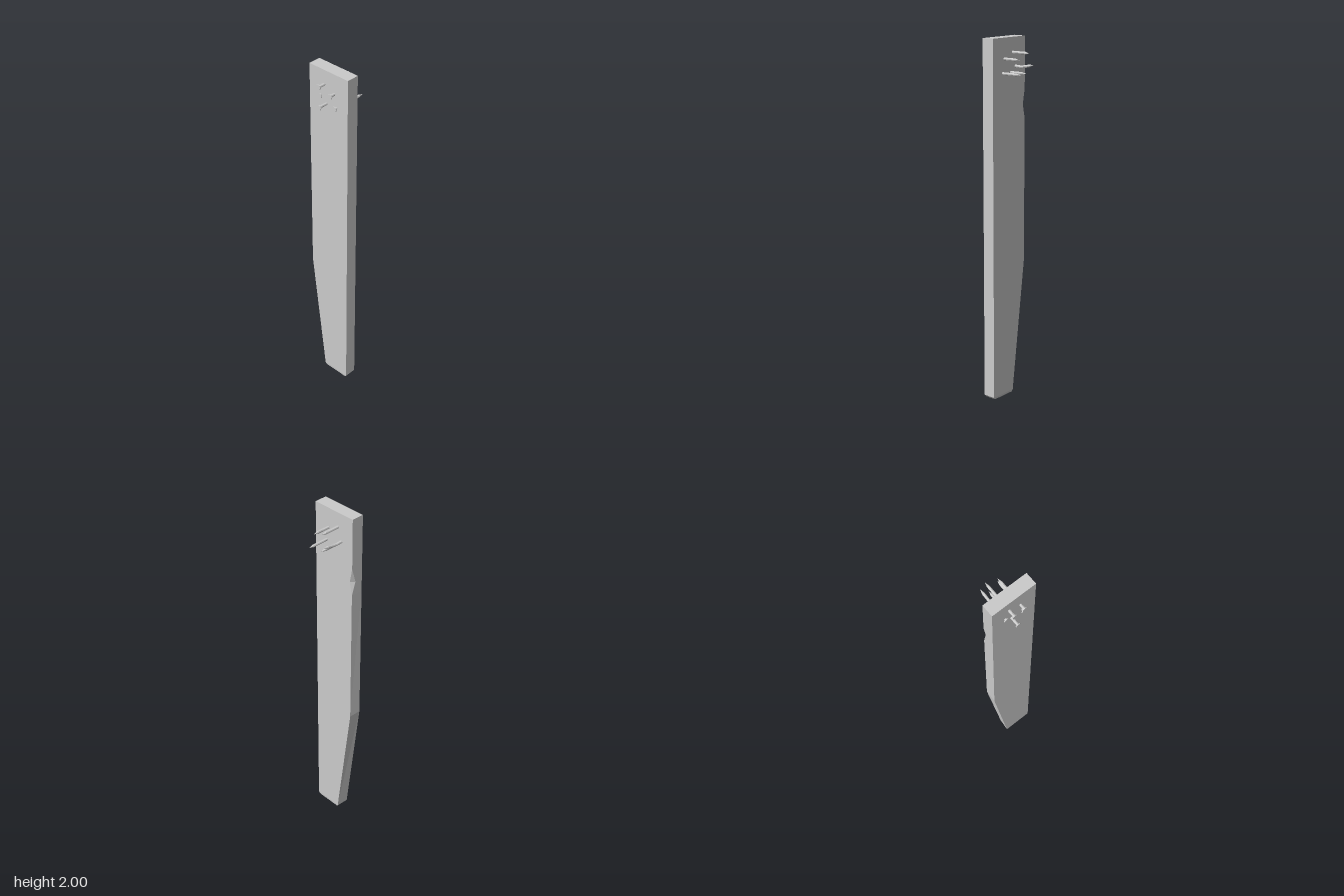
import * as THREE from 'three';

const material = new THREE.MeshStandardMaterial({ color: 0xcccccc, flatShading: true, side: THREE.DoubleSide });

// Plank lofted from horizontal sections; the +x rear corner can be cut to form the chip.
function plankGeometry() {
  // y, front z, rear z at +x, rear z at -x, corner cut in z, corner cut in x, side inset
  const sections = [
    [0.0, 0.12, -0.026, -0.03, 0, 0, 0.002],
    [0.012, 0.13, -0.032, -0.038, 0, 0, 0],
    [0.76, 0.13, -0.128, -0.13, 0, 0, 0],
    [1.56, 0.13, -0.13, -0.13, 0, 0, 0],
    [1.635, 0.13, -0.13, -0.13, 0.016, 0.024, 0],
    [1.72, 0.13, -0.13, -0.13, 0, 0, 0],
    [2.0, 0.13, -0.13, -0.13, 0, 0, 0],
  ];
  const rings = sections.map(([y, front, rearA, rearB, cutZ, cutX, inset]) => [
    [-0.07 + inset, y, front],
    [-inset, y, front],
    [-inset, y, rearA + cutZ],
    [-inset - cutX, y, rearA],
    [-0.07 + inset, y, rearB],
  ]);
  const positions = [];
  const tri = (a, b, c) => positions.push(...a, ...b, ...c);
  for (let k = 0; k < rings.length - 1; k++) {
    for (let i = 0; i < 5; i++) {
      const j = (i + 1) % 5;
      tri(rings[k][i], rings[k][j], rings[k + 1][j]);
      tri(rings[k][i], rings[k + 1][j], rings[k + 1][i]);
    }
  }
  // End caps
  const bottom = rings[0], top = rings[rings.length - 1];
  for (let i = 1; i < 4; i++) {
    tri(top[0], top[i], top[i + 1]);
    tri(bottom[0], bottom[i + 1], bottom[i]);
  }
  const geometry = new THREE.BufferGeometry();
  geometry.setAttribute('position', new THREE.Float32BufferAttribute(positions, 3));
  geometry.computeVertexNormals();
  return geometry;
}

// Nail along +x from its flat head to its pointed tip; bend sags the exposed shaft and lifts the tip.
function nailGeometry(headX, tipX, bend) {
  const length = tipX - headX, r = 0.0075, headR = 0.0145, shoulder = length - 0.028;
  const profile = [[0, 0], [headR, 0], [headR, 0.005], [r, 0.005]];
  for (let i = 1; i <= 6; i++) profile.push([r, 0.005 + (shoulder - 0.005) * i / 6]);
  profile.push([0, length]);
  const geometry = new THREE.LatheGeometry(profile.map(p => new THREE.Vector2(...p)), 8);
  geometry.rotateZ(-Math.PI / 2).translate(headX, 0, 0);
  if (bend) {
    const p = geometry.attributes.position;
    for (let i = 0; i < p.count; i++) {
      const x = p.getX(i);
      const drop = x < 0.045 ? -0.007 * (x - headX) / (0.045 - headX) : -0.007 + 0.2 * (x - 0.045);
      p.setY(i, p.getY(i) + drop);
    }
    geometry.computeVertexNormals();
  }
  return geometry;
}

export function createModel() {
  const group = new THREE.Group();
  group.name = 'nailedPlank';

  const plank = new THREE.Mesh(plankGeometry(), material);
  plank.name = 'plank';
  group.add(plank);

  // y, z, head x, tip x, bent
  const nails = [
    [1.92, -0.029, -0.114, 0.113, false],
    [1.89, 0.039, -0.104, 0.102, false],
    [1.85, -0.052, -0.082, 0.122, true],
    [1.815, 0.052, -0.086, 0.122, false],
    [1.815, -0.015, -0.125, 0.104, false],
  ];
  nails.forEach(([y, z, headX, tipX, bent], i) => {
    const nail = new THREE.Mesh(nailGeometry(headX, tipX, bent), material);
    nail.name = `nail${i + 1}`;
    nail.position.set(0, y, z);
    group.add(nail);
  });
  return group;
}
